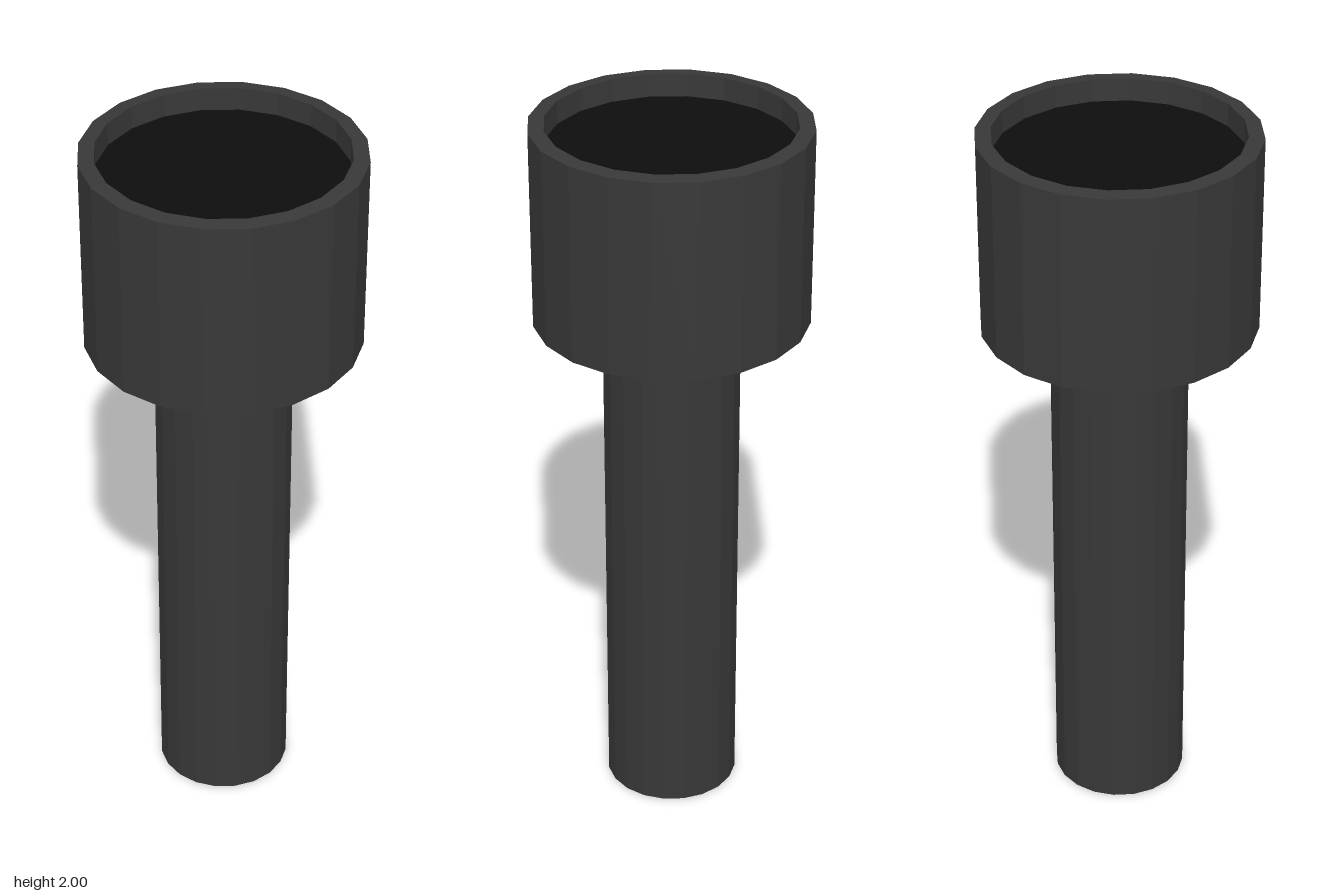
import * as THREE from 'three';

const SIDES = 20;
const TURN = Math.PI / SIDES; // puts flat facets on the x and z axes

export function createModel() {
  const model = new THREE.Group();
  const body = new THREE.MeshStandardMaterial({ color: 0x383838, flatShading: true });
  const dark = new THREE.MeshStandardMaterial({ color: 0x0d0d0d, flatShading: true });

  function add(name, geometry, material) {
    const mesh = new THREE.Mesh(geometry, material);
    mesh.name = name;
    model.add(mesh);
    return mesh;
  }

  function lathe(profile) {
    const points = profile.map(([r, y]) => new THREE.Vector2(r, y));
    return new THREE.LatheGeometry(points, SIDES).rotateY(TURN);
  }

  // Long plain stem, closed at the bottom
  add('stem', lathe([[0, 0], [0.184, 0], [0.184, 1.455]]), body);

  // Wide head: underside, outer wall, rim and shallow inner wall
  add('head', lathe([
    [0.184, 1.455], [0.3675, 1.455], [0.3675, 1.996], [0.326, 2], [0.326, 1.937],
  ]), body);

  // Dark recessed face inside the rim
  const face = new THREE.CircleGeometry(0.326, SIDES).rotateX(-Math.PI / 2).rotateY(TURN);
  add('recessedFace', face, dark).position.y = 1.937;

  return model;
}
